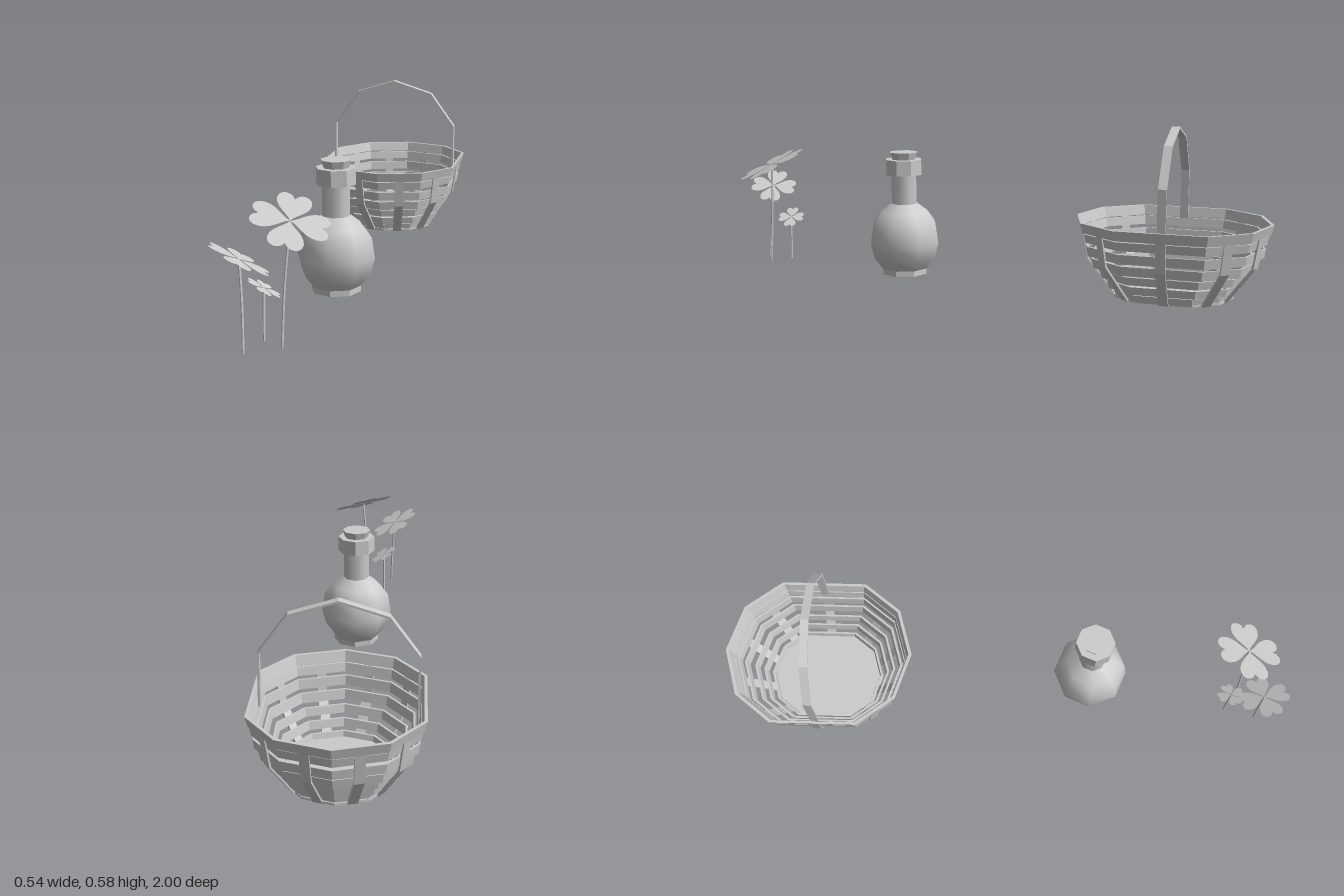
import * as THREE from 'three';

const V = (x, y, z) => new THREE.Vector3(x, y, z);
const flat = new THREE.MeshStandardMaterial({ color: 0xcccccc, flatShading: true, side: THREE.DoubleSide });
const smooth = new THREE.MeshStandardMaterial({ color: 0xcccccc, side: THREE.DoubleSide });

function add(parent, name, geometry, material = flat) {
  const mesh = new THREE.Mesh(geometry, material);
  mesh.name = name;
  parent.add(mesh);
  return mesh;
}

// Joins four-cornered sections into a bar, either a closed ring or capped at both ends
function loft(sections, closed) {
  const n = sections.length, index = [];
  for (let i = 0; i < (closed ? n : n - 1); i++) {
    for (let j = 0; j < 4; j++) {
      const k = (j + 1) % 4, m = (i + 1) % n;
      const a = i * 4 + j, b = m * 4 + j, c = m * 4 + k, d = i * 4 + k;
      index.push(a, b, c, a, c, d);
    }
  }
  if (!closed) {
    const e = (n - 1) * 4;
    index.push(0, 1, 2, 0, 2, 3, e, e + 2, e + 1, e, e + 3, e + 2);
  }
  const g = new THREE.BufferGeometry().setFromPoints(sections.flat());
  g.setIndex(index);
  g.computeVertexNormals();
  return g;
}

// Flat strip following a path; its width runs along the side vector
function strip(path, side, width, thick) {
  const sections = path.map((p, i) => {
    const dir = path[Math.min(i + 1, path.length - 1)].clone().sub(path[Math.max(i - 1, 0)]);
    const out = dir.cross(side.clone().negate()).normalize();
    const at = (s, o) => p.clone().addScaledVector(side, s * width / 2).addScaledVector(out, o * thick / 2);
    return [at(1, 1), at(-1, 1), at(-1, -1), at(1, -1)];
  });
  return loft(sections, false);
}

// Ten-sided outline of the basket at its rim, as [x, z]
const half = [[0, 0.33], [0.165, 0.28], [0.265, 0.15], [0.265, -0.15], [0.165, -0.28]];
const outline = [...half, ...half.map(([x, z]) => [-x, -z])];

function band(y0, y1, s0, s1, thick) {
  return loft(outline.map(([x, z]) => {
    const at = (s, y) => V(x * s, y, z * s);
    return [at(s0, y0), at(s1, y1), at(s1 - thick, y1), at(s0 - thick, y0)];
  }), true);
}

function makeBasket() {
  const basket = new THREE.Group();
  basket.name = 'basket';
  basket.position.z = -0.67;

  // Floor
  const floorShape = new THREE.Shape(outline.map(([x, z]) => new THREE.Vector2(x * 0.61, -z * 0.63)));
  const floor = new THREE.ExtrudeGeometry(floorShape, { depth: 0.008, bevelEnabled: false });
  add(basket, 'basketFloor', floor.rotateX(-Math.PI / 2).translate(0, 0.004, 0));

  // Rim and woven bands: bottom, top, scale at bottom and top
  add(basket, 'rim', band(0.228, 0.262, 0.98, 1.01, 0.035));
  const bands = [
    [0.005, 0.03, 0.61, 0.63], [0.036, 0.063, 0.69, 0.71], [0.073, 0.1, 0.77, 0.79],
    [0.108, 0.14, 0.86, 0.88], [0.15, 0.182, 0.92, 0.935], [0.195, 0.224, 0.945, 0.965],
  ];
  bands.forEach(([y0, y1, s0, s1]) => add(basket, 'wovenBand', band(y0, y1, s0, s1, 0.025)));

  // Upright staves at the middle of each side
  outline.forEach(([x, z], i) => {
    const [x2, z2] = outline[(i + 1) % outline.length];
    const side = V(x2 - x, 0, z2 - z).normalize();
    const path = [[0.62, 0.004], [0.915, 0.128], [0.98, 0.25]]
      .map(([s, y]) => V((x + x2) / 2 * s, y, (z + z2) / 2 * s));
    add(basket, 'stave', strip(path, side, 0.032, 0.007));
  });

  // Arched handle
  const right = [[0.243, 0.225], [0.242, 0.4], [0.15, 0.527]];
  const path = [...right, [0, 0.574], ...right.map(([x, y]) => [-x, y]).reverse()];
  add(basket, 'handle', strip(path.map(([x, y]) => V(x, y, 0)), V(0, 0, -1), 0.028, 0.007));
  return basket;
}

function lathe(points) {
  return new THREE.LatheGeometry(points.map(([r, y]) => new THREE.Vector2(r, y)), 8);
}

function makeBottle() {
  const bottle = new THREE.Group();
  bottle.name = 'bottle';
  bottle.position.z = 0.31;
  add(bottle, 'foot', lathe([[0, 0.008], [0.085, 0.008], [0.085, 0.03], [0, 0.03]]), flat);
  add(bottle, 'body', lathe([[0.085, 0.028], [0.117, 0.07], [0.132, 0.125], [0.121, 0.195],
    [0.09, 0.235], [0.048, 0.266]]), smooth);
  add(bottle, 'neck', lathe([[0.048, 0.266], [0.048, 0.375]]), smooth);
  add(bottle, 'collar', lathe([[0.044, 0.372], [0.068, 0.372], [0.068, 0.427], [0.04, 0.427]]), flat);
  add(bottle, 'cork', lathe([[0.041, 0.42], [0.052, 0.453], [0, 0.453]]), flat);
  return bottle;
}

// Heart-shaped leaflet of unit length, lying flat with its tip at the origin
function leaflet() {
  const s = new THREE.Shape();
  s.moveTo(0, 0);
  s.bezierCurveTo(0.08, 0.22, 0.46, 0.4, 0.46, 0.74);
  s.bezierCurveTo(0.46, 1.06, 0.1, 1.1, 0, 0.82);
  s.bezierCurveTo(-0.1, 1.1, -0.46, 1.06, -0.46, 0.74);
  s.bezierCurveTo(-0.46, 0.4, -0.08, 0.22, 0, 0);
  return new THREE.ShapeGeometry(s, 6).rotateX(-Math.PI / 2);
}

// Clover: a bent stem with four leaflets on a plane tilted by slopeX and slopeZ
function makeClover({ root, head, size, slopeX, slopeZ, turn }) {
  const clover = new THREE.Group();
  clover.name = 'clover';
  const middle = root.clone().lerp(head, 0.5);
  middle.x -= (head.x - root.x) * 0.2;
  const curve = new THREE.CatmullRomCurve3([root, middle, head]);
  add(clover, 'stem', new THREE.TubeGeometry(curve, 6, 0.004, 4), flat);
  for (let i = 0; i < 4; i++) {
    const g = leaflet().scale(size, 1, size).rotateY(turn + i * Math.PI / 2);
    const p = g.attributes.position;
    for (let k = 0; k < p.count; k++) p.setY(k, p.getX(k) * slopeX + p.getZ(k) * slopeZ);
    g.computeVertexNormals();
    add(clover, 'leaflet', g, flat).position.copy(head);
  }
  return clover;
}

export function createModel() {
  const model = new THREE.Group();
  model.name = 'basketBottleAndClovers';
  model.add(makeBasket(), makeBottle());
  const clovers = [
    { root: V(-0.022, 0.008, 0.87), head: V(0, 0.385, 0.845), size: 0.112, slopeX: -0.28, slopeZ: -0.4, turn: 0.12 },
    { root: V(-0.12, 0.006, 0.93), head: V(-0.132, 0.282, 0.912), size: 0.083, slopeX: -0.5, slopeZ: 0.22, turn: 0.25 },
    { root: V(-0.092, 0.006, 0.82), head: V(-0.09, 0.17, 0.818), size: 0.047, slopeX: -0.55, slopeZ: 0.15, turn: 0.3 },
  ];
  clovers.forEach((c) => model.add(makeClover(c)));
  return model;
}
